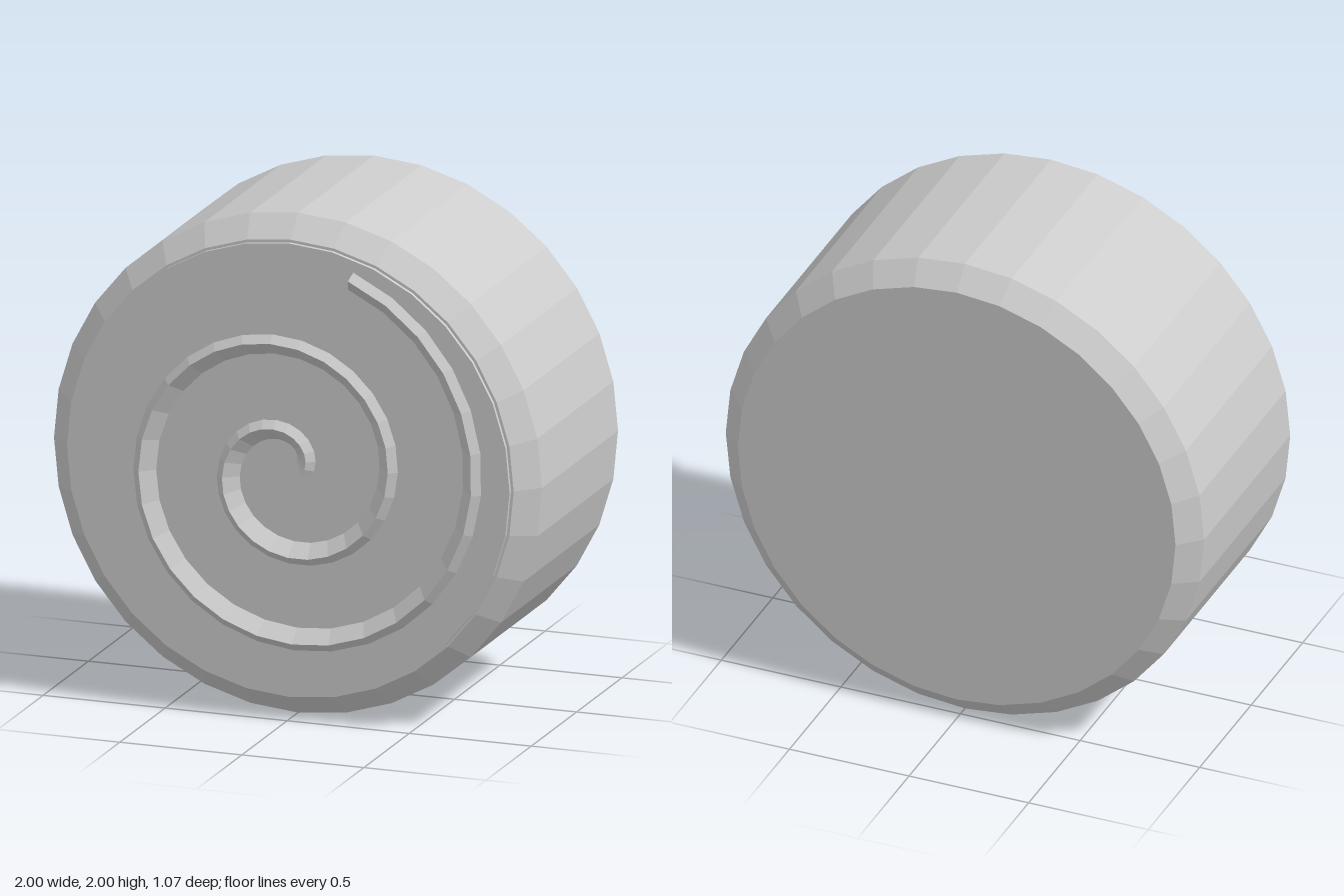
import * as THREE from 'three';

const grey = new THREE.MeshStandardMaterial({ color: 0xcccccc, flatShading: true });
grey.name = 'grey';

// Turned solid along z, from [radius, z] pairs listed back to front
function turned(name, profile) {
  const geometry = new THREE.LatheGeometry(profile.map(([r, z]) => new THREE.Vector2(r, z)), 32);
  geometry.rotateX(Math.PI / 2);
  const mesh = new THREE.Mesh(geometry, grey);
  mesh.name = name;
  return mesh;
}

// Raised spiral ridge: a four-cornered section swept along an Archimedean spiral
function spiralRidge() {
  const start = -0.26, end = 4 * Math.PI + 1.25, steps = 60, growth = 0.0549;
  // Section as [offset from the outer edge, z]
  const section = [[0, 0.507], [-0.031, 0.535], [-0.086, 0.479], [-0.025, 0.479]];
  const n = section.length, positions = [], index = [];
  for (let i = 0; i <= steps; i++) {
    const t = start + (end - start) * Math.pow(i / steps, 0.9);
    const r = 0.108 + growth * t;
    const normal = t - Math.atan2(growth, r);
    for (const [offset, z] of section) {
      positions.push(
        r * Math.cos(t) + offset * Math.cos(normal),
        r * Math.sin(t) + offset * Math.sin(normal),
        z
      );
    }
  }
  for (let i = 0; i < steps; i++) {
    for (let j = 0; j < n; j++) {
      const a = i * n + j, b = i * n + (j + 1) % n;
      index.push(a, a + n, b, b, a + n, b + n);
    }
  }
  // End caps
  const last = steps * n;
  index.push(0, 1, 2, 0, 2, 3, last, last + 2, last + 1, last, last + 3, last + 2);
  const geometry = new THREE.BufferGeometry();
  geometry.setAttribute('position', new THREE.Float32BufferAttribute(positions, 3));
  geometry.setIndex(index);
  geometry.computeVertexNormals();
  const mesh = new THREE.Mesh(geometry, grey);
  mesh.name = 'spiralRidge';
  return mesh;
}

export function createModel() {
  const group = new THREE.Group();
  group.name = 'spiralDrum';
  // Drum with chamfered rims
  group.add(turned('drumBody', [
    [0, -0.537], [0.915, -0.537], [1, -0.457], [1, 0.38], [0.915, 0.465], [0, 0.465],
  ]));
  // Thin disc on the front face
  group.add(turned('frontDisc', [[0.904, 0.464], [0.904, 0.481], [0, 0.481]]));
  group.add(spiralRidge());
  group.children.forEach((part) => { part.position.y = 1; });
  return group;
}
